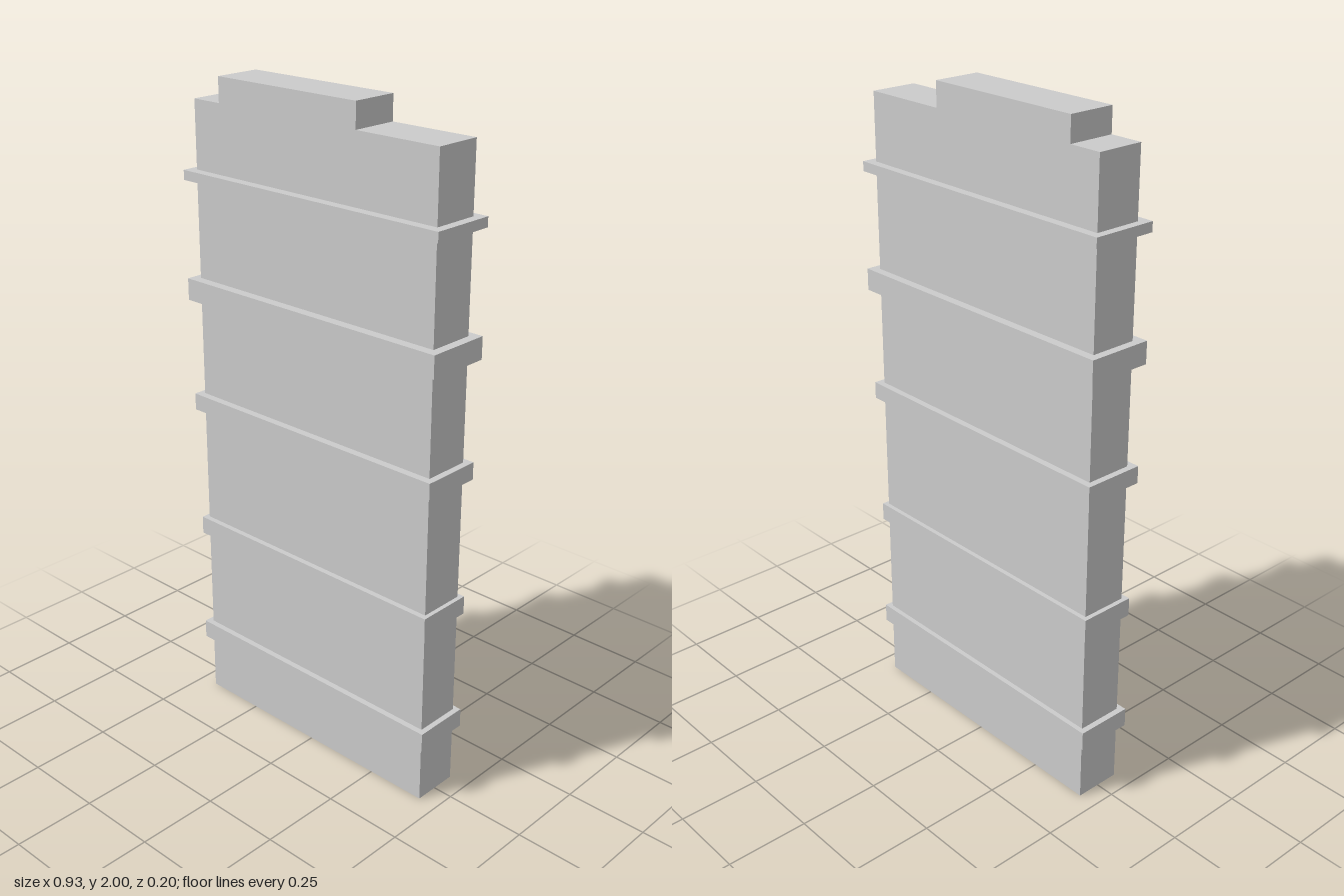
import * as THREE from 'three';

export function createModel() {
  const model = new THREE.Group();
  const material = new THREE.MeshStandardMaterial({ color: 0xcccccc, flatShading: true });

  // Slab with an off-centre raised block along its top
  const outline = new THREE.Shape([
    [-0.442, 0], [0.439, 0], [0.439, 1.927], [0.165, 1.927],
    [0.165, 2], [-0.342, 2], [-0.342, 1.927], [-0.442, 1.927],
  ].map(([x, y]) => new THREE.Vector2(x, y)));
  const slabGeometry = new THREE.ExtrudeGeometry(outline, { depth: 0.143, bevelEnabled: false });
  slabGeometry.translate(0, 0, -0.073);
  const slab = new THREE.Mesh(slabGeometry, material);
  slab.name = 'slab';
  model.add(slab);

  // Bands around the slab: bottom, top, half width, half depth, centre x
  const bands = [
    [0.185, 0.243, 0.458, 0.088, -0.002],
    [0.567, 0.623, 0.454, 0.087, -0.002],
    [0.990, 1.042, 0.460, 0.093, -0.001],
    [1.340, 1.406, 0.466, 0.099, 0],
    [1.698, 1.727, 0.466, 0.099, 0],
  ];
  bands.forEach(([bottom, top, halfWidth, halfDepth, x], i) => {
    const band = new THREE.Mesh(
      new THREE.BoxGeometry(halfWidth * 2, top - bottom, halfDepth * 2), material);
    band.position.set(x, (bottom + top) / 2, 0);
    band.name = `band${i + 1}`;
    model.add(band);
  });

  return model;
}
